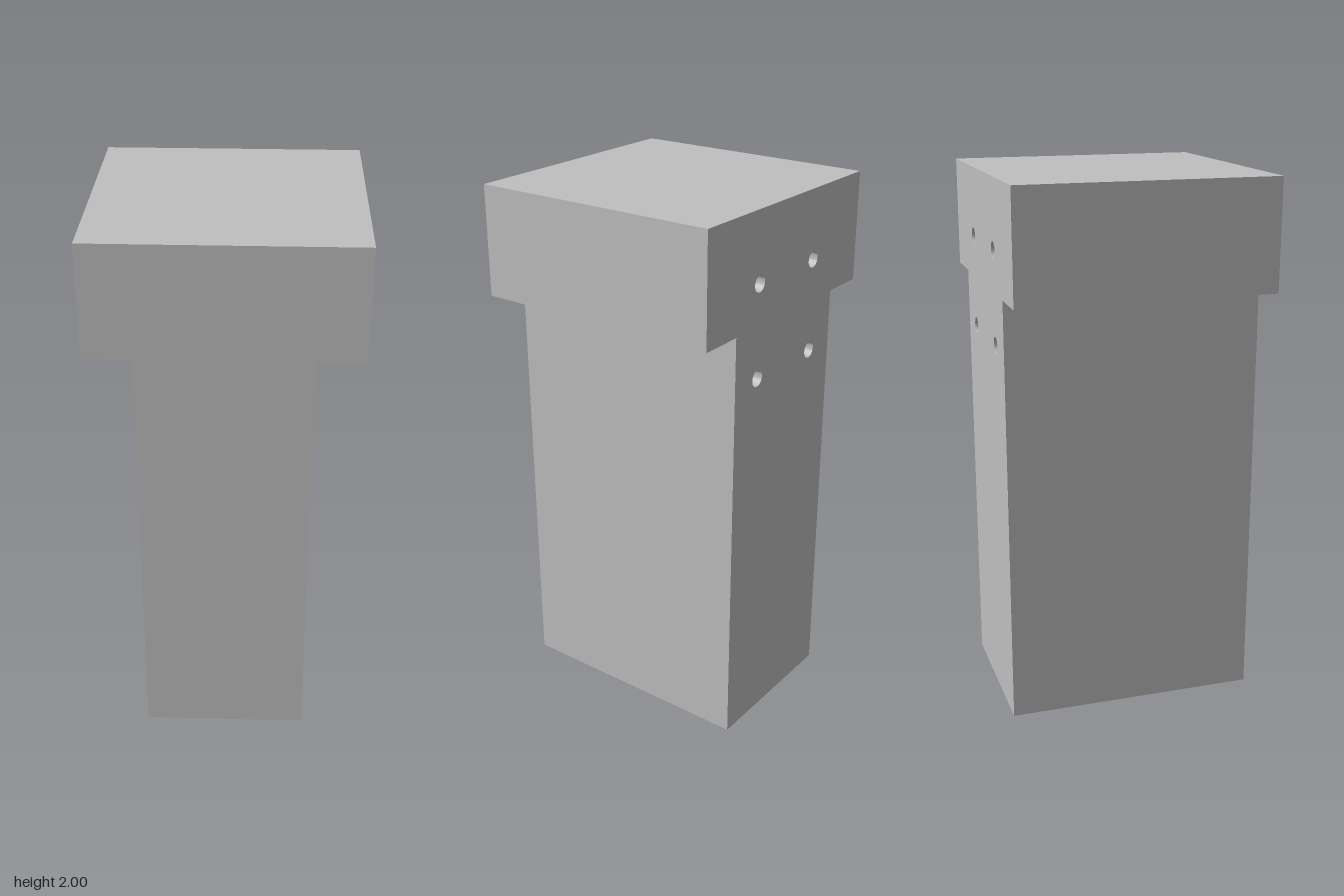
import * as THREE from 'three';
import { mergeGeometries, toCreasedNormals } from 'three/addons/utils/BufferGeometryUtils.js';

const HALF = 0.44, BODY = 0.283, BASE = 0.13, STEP = 1.625, TOP = 2;
const HOLE_R = 0.028, HOLE_DEPTH = 0.1;
const HOLES = [[-0.158, 1.45], [0.158, 1.45], [-0.158, 1.765], [0.158, 1.765]];

// T-shaped outline: narrow body under a wide head
function outline() {
  return new THREE.Shape([
    [-BODY, BASE], [BODY, BASE], [BODY, STEP], [HALF, STEP],
    [HALF, TOP], [-HALF, TOP], [-HALF, STEP], [-BODY, STEP],
  ].map(([x, y]) => new THREE.Vector2(x, y)));
}

// Side walls of an extrusion, without its caps
function walls(shape, depth) {
  const g = new THREE.ExtrudeGeometry(shape, { depth, bevelEnabled: false });
  const { start, count } = g.groups[1];
  const out = new THREE.BufferGeometry();
  for (const name of ['position', 'normal', 'uv']) {
    const a = g.attributes[name], n = a.itemSize;
    out.setAttribute(name, new THREE.BufferAttribute(a.array.slice(start * n, (start + count) * n), n));
  }
  return out;
}

// Turned part with crisp edges
function turned(points, segments) {
  const profile = points.map(([r, y]) => new THREE.Vector2(r, y));
  return toCreasedNormals(new THREE.LatheGeometry(profile, segments), 0.5);
}

export function createModel() {
  const model = new THREE.Group();
  const grey = new THREE.MeshStandardMaterial({ color: 0xbfbfbf });
  grey.name = 'light grey';
  const add = (name, geometry) => {
    const mesh = new THREE.Mesh(geometry, grey);
    mesh.name = name;
    model.add(mesh);
    return mesh;
  };

  // Housing: walls, plain front and drilled back in one shell
  const drilled = outline();
  for (const [x, y] of HOLES) {
    drilled.holes.push(new THREE.Path().absarc(x, y, HOLE_R, 0, Math.PI * 2, true));
  }
  const sides = walls(outline(), 2 * HALF).translate(0, 0, -HALF);
  const front = new THREE.ShapeGeometry(outline()).toNonIndexed().translate(0, 0, HALF);
  const back = new THREE.ShapeGeometry(drilled, 12).toNonIndexed().rotateY(Math.PI).translate(0, 0, -HALF);
  add('housing', mergeGeometries([sides, front, back]));

  // Blind mounting holes in the back, walls facing inward
  const pocket = turned([[HOLE_R, 0], [HOLE_R, -HOLE_DEPTH], [0, -HOLE_DEPTH]], 24).rotateX(-Math.PI / 2);
  HOLES.forEach(([x, y], i) => add(`mountingHole${i + 1}`, pocket).position.set(x, y, -HALF));

  // Tapered nozzle below, set towards the back
  add('nozzle', turned([[0, 0], [0.027, 0], [0.063, 0.05], [0.063, BASE]], 32)).position.z = -0.25;

  return model;
}
